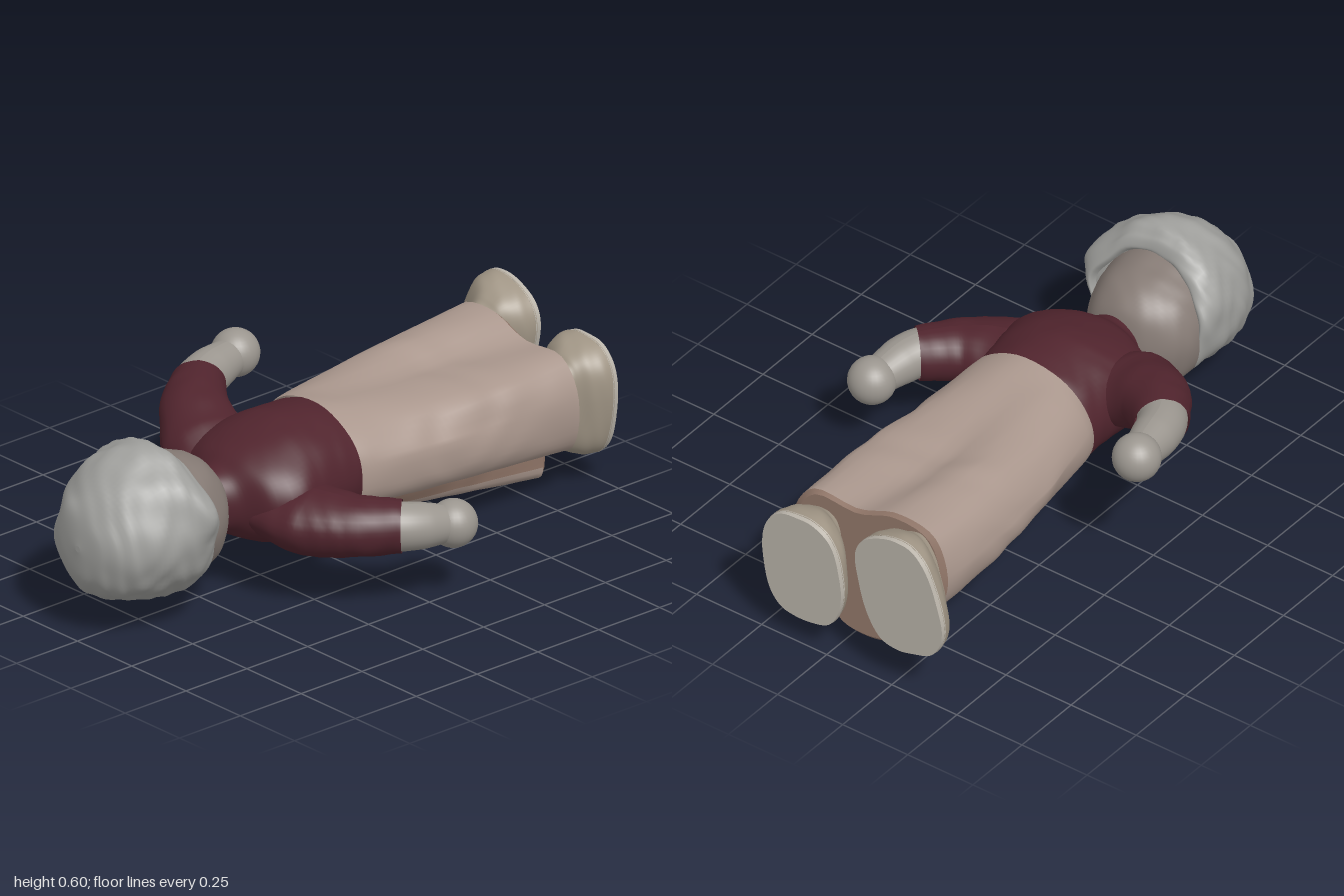
import * as THREE from 'three';

const SEG = 72;
const paint = (color) => new THREE.MeshStandardMaterial({ color, roughness: 0.9, side: THREE.DoubleSide });
const maroon = paint(0x50242d), cloth = paint(0xaa978d), shade = paint(0x93786a);
const knit = paint(0x9f9f9c), skin = paint(0x857a74), glove = paint(0x9b968f);
const leather = paint(0x9f9484), rubber = paint(0xbab4aa);

// Soft crumpling with a finer second layer, in units of 1
const crumple = (x, y, z) =>
  (Math.sin(x * 17 + z * 9 + 1) + Math.sin(y * 19 - z * 13 + 2) + Math.sin((x - y) * 27 + z * 21)) / 3
  + 0.45 * Math.sin(x * 43 + y * 31 + 2 * Math.sin(z * 30)) * Math.sin(z * 47 - x * 25 + y * 12);

function addMesh(parent, name, geometry, material) {
  const mesh = new THREE.Mesh(geometry, material);
  mesh.name = name;
  parent.add(mesh);
  return mesh;
}

// Skin over closed rings ordered from low z to high z, each anticlockwise seen from +z
function skinRings(rings, { capStart = true, capEnd = true, keep = () => true } = {}) {
  const n = rings[0].length, pos = [], index = [];
  rings.forEach((ring) => ring.forEach((p) => pos.push(p.x, p.y, p.z)));
  for (let i = 0; i < rings.length - 1; i++) {
    for (let j = 0; j < n; j++) {
      const a = i * n + j, b = i * n + (j + 1) % n;
      if (keep(j)) index.push(a, b, b + n, a, b + n, a + n);
    }
  }
  const cap = (ring, flip) => {
    const base = pos.length / 3;
    const mid = ring.reduce((s, p) => s.add(p), new THREE.Vector3()).divideScalar(n);
    [...ring, mid].forEach((p) => pos.push(p.x, p.y, p.z));
    for (let j = 0; j < n; j++) {
      const a = base + j, b = base + (j + 1) % n;
      index.push(base + n, flip ? b : a, flip ? a : b);
    }
  };
  if (capStart) cap(rings[0], true);
  if (capEnd) cap(rings[rings.length - 1], false);
  const g = new THREE.BufferGeometry();
  g.setAttribute('position', new THREE.Float32BufferAttribute(pos, 3));
  g.setIndex(index);
  g.computeVertexNormals();
  return g;
}

// Ellipse sections [z, centre x, centre y, half width, half height], smoothed along z
function loft(sections, { steps = 6, rough = 0, power = 2, tilt = 0, edit } = {}) {
  const rings = [];
  const mix = (a, b, c, d, t) => {
    const m = (c - a) / 2, k = (d - b) / 2;
    return b + m * t + (3 * (c - b) - 2 * m - k) * t * t + (2 * (b - c) + m + k) * t * t * t;
  };
  const last = sections.length - 1;
  for (let s = 0; s <= last * steps; s++) {
    const i = Math.min(Math.floor(s / steps), last - 1), t = s / steps - i;
    const [z, cx, cy, rx, ry] = sections[i].map((_, k) => mix(
      sections[Math.max(i - 1, 0)][k], sections[i][k], sections[i + 1][k], sections[Math.min(i + 2, last)][k], t));
    const ring = [];
    for (let j = 0; j < SEG; j++) {
      const a = (j / SEG) * Math.PI * 2, c = Math.cos(a), q = Math.sin(a);
      const u = Math.sign(c) * Math.abs(c) ** (2 / power) * rx, v = Math.sign(q) * Math.abs(q) ** (2 / power) * ry;
      const p = new THREE.Vector3(u * Math.cos(tilt) - v * Math.sin(tilt), u * Math.sin(tilt) + v * Math.cos(tilt), z);
      const f = 1 + (rough * crumple(cx + p.x, cy + p.y, z)) / Math.max(rx, 0.08);
      p.set(cx + p.x * f, cy + p.y * f, z);
      if (edit) edit(p, a);
      ring.push(p);
    }
    rings.push(ring);
  }
  return rings;
}

// Limb along a path with its own radius at each step, flattened in y near its start
function limb(points, radii, flat = 1, rough = 0) {
  const path = new THREE.CatmullRomCurve3(points.map((p) => new THREE.Vector3(...p)));
  const n = 32, g = new THREE.TubeGeometry(path, n, 1, 32, false), pos = g.attributes.position;
  const v = new THREE.Vector3();
  for (let k = 0; k < pos.count; k++) {
    const t = Math.floor(k / 33) / n, c = path.getPointAt(t);
    const f = t * (radii.length - 1), i = Math.min(Math.floor(f), radii.length - 2);
    const r = THREE.MathUtils.lerp(radii[i], radii[i + 1], f - i);
    v.fromBufferAttribute(pos, k).sub(c);
    v.multiplyScalar(r + rough * crumple(c.x + v.x * r, c.y + v.y * r, c.z + v.z * r));
    v.y *= THREE.MathUtils.lerp(flat, 1, t);
    v.add(c);
    pos.setXYZ(k, v.x, v.y, v.z);
  }
  g.computeVertexNormals();
  return g;
}

// Long garment: a round waist that spreads to a hem with a grooved, narrow trailing back
const HEM = [
  [-0.345, 0.36], [-0.325, 0.25], [-0.26, 0.185], [-0.15, 0.19], [-0.145, 0.1], [-0.14, 0.03], [-0.04, 0], [0.06, 0.02],
  [0.075, 0.09], [0.09, 0.18], [0.19, 0.155], [0.235, 0.22], [0.24, 0.37], [0.17, 0.465], [0, 0.465], [-0.15, 0.515], [-0.29, 0.49],
];
function robeRings() {
  const rings = [];
  for (let s = 0; s <= 40; s++) {
    const t = 1 - s / 40, wide = t ** 0.6, hump = Math.sin(t * Math.PI);
    const ctrl = HEM.map(([x, y]) => {
      const a = Math.atan2(y - 0.28, x + 0.04);
      const wx = -0.015 + 0.238 * Math.cos(a), wy = 0.32 + 0.194 * Math.sin(a);
      return new THREE.Vector3(
        (wx + (x - wx) * wide) * (1 + 0.06 * hump), wy + (y - wy) * t, 0.025 - 0.87 * t + 0.03 * t * (y - 0.2));
    });
    const ring = new THREE.CatmullRomCurve3(ctrl, true).getPoints(SEG).slice(0, SEG);
    ring.forEach((p) => {
      const w = 0.007 * hump * crumple(p.x, p.y, p.z * 0.4);
      p.x += w;
      // shallow valley between the legs along the front
      p.y += w - (p.y > 0.36 ? hump * (0.012 + 0.025 * Math.exp(-(((p.x + 0.05) / 0.07) ** 2))) : 0);
    });
    rings.push(ring);
  }
  return rings;
}

export function createModel() {
  const model = new THREE.Group();
  model.name = 'lyingFigure';

  // Robe: pale panels, darker grooves on both sides of the trailing back, closed hem
  const robe = robeRings();
  const at = (j) => (j / SEG) * HEM.length;
  const isGroove = (j) => (at(j) > 2.1 && at(j) < 4.9) || (at(j) > 7.4 && at(j) < 9.9);
  addMesh(model, 'robePanels', skinRings(robe, { capStart: false, capEnd: false, keep: (j) => !isGroove(j) }), cloth);
  addMesh(model, 'robeGrooves', skinRings(robe, { capStart: false, capEnd: false, keep: isGroove }), shade);
  const inset = robe[0].map((p) => new THREE.Vector3(-0.04 + (p.x + 0.04) * 0.94, 0.27 + (p.y - 0.27) * 0.95, p.z - 0.012));
  addMesh(model, 'robeHem', skinRings([inset, robe[0]], { capEnd: false }), shade);

  // Jumper body and neck
  addMesh(model, 'jumper', skinRings(loft([
    [-0.02, -0.015, 0.32, 0.218, 0.178], [0.03, -0.015, 0.32, 0.232, 0.19], [0.1, -0.01, 0.323, 0.238, 0.193],
    [0.2, -0.005, 0.323, 0.25, 0.192], [0.3, 0, 0.315, 0.26, 0.172], [0.38, 0, 0.315, 0.21, 0.14],
    [0.43, 0, 0.31, 0.12, 0.11], [0.48, -0.01, 0.305, 0.085, 0.1],
  ], { rough: 0.003 })), maroon);

  // Sleeves and hands, each arm posed a little differently
  const arms = [
    { name: 'left', sleeve: [[0.1, 0.28, 0.28], [0.25, 0.268, 0.25], [0.37, 0.27, 0.195], [0.475, 0.272, 0.09]], hand: [0.522, 0.25, -0.078] },
    { name: 'right', sleeve: [[-0.1, 0.315, 0.28], [-0.25, 0.365, 0.25], [-0.36, 0.415, 0.195], [-0.465, 0.44, 0.09]], hand: [-0.523, 0.463, -0.115] },
  ];
  arms.forEach(({ name, sleeve, hand }) => {
    const arm = new THREE.Group();
    arm.name = name + 'Arm';
    addMesh(arm, 'sleeve', limb(sleeve, [0.14, 0.15, 0.11, 0.084], 0.55, 0.004), maroon);
    addMesh(arm, 'wrist', limb([sleeve[2], sleeve[3], hand], [0.06, 0.079, 0.073, 0.055]), glove);
    const fist = addMesh(arm, 'hand', new THREE.SphereGeometry(0.077, 28, 20), glove);
    fist.position.set(...hand);
    model.add(arm);
  });

  // Head
  addMesh(model, 'head', skinRings(loft([
    [0.445, -0.015, 0.3, 0.06, 0.07], [0.47, -0.015, 0.3, 0.115, 0.14], [0.52, -0.02, 0.3, 0.165, 0.185],
    [0.59, -0.02, 0.303, 0.195, 0.205], [0.7, -0.01, 0.315, 0.205, 0.21],
  ], { rough: 0.004 })), skin);

  // Crumpled cap with a raised front rim and a small peak on its left
  addMesh(model, 'cap', skinRings(loft([
    [0.635, -0.005, 0.31, 0.195, 0.2], [0.61, -0.005, 0.32, 0.212, 0.214], [0.64, 0, 0.335, 0.235, 0.235],
    [0.71, 0.003, 0.343, 0.247, 0.25], [0.8, 0, 0.333, 0.237, 0.24], [0.88, -0.005, 0.318, 0.207, 0.212],
    [0.94, -0.005, 0.305, 0.16, 0.172], [0.98, -0.005, 0.305, 0.095, 0.11], [0.995, -0.005, 0.305, 0.01, 0.01],
  ], {
    rough: 0.01,
    edit: (p, a) => {
      p.x += 0.025 * Math.exp(-(((a - 0.25) / 0.25) ** 2) - ((p.z - 0.67) / 0.05) ** 2);
      if (p.z < 0.75) p.z += 0.065 * Math.max(0, Math.sin(a)) ** 2 * (0.75 - p.z) / 0.15;
    },
  })), knit);

  // Shoes with flat soles: long toe to heel, pinched sideways at the ankle
  const shoes = [
    { name: 'leftShoe', x: 0.097, y: 0.283, rx: 0.148, ry: 0.194, tilt: -0.1 },
    { name: 'rightShoe', x: -0.275, y: 0.35, rx: 0.152, ry: 0.208, tilt: -0.28 },
  ];
  const rows = [[-0.985, 1, 1], [-0.95, 0.95, 0.98], [-0.915, 0.8, 0.92], [-0.885, 0.57, 0.82], [-0.86, 0.48, 0.7], [-0.8, 0.45, 0.55]];
  shoes.forEach(({ name, x, y, rx, ry, tilt }) => {
    const shoe = new THREE.Group();
    shoe.name = name;
    addMesh(shoe, 'upper', skinRings(loft(
      rows.map(([z, kx, ky]) => [z, x + (1 - kx) * 0.04, y, rx * kx, ry * ky]), { tilt, power: 2.8, rough: 0.003 })), leather);
    addMesh(shoe, 'sole', skinRings(loft(
      [[-1, x, y, rx * 0.99, ry * 0.99], [-0.98, x, y, rx, ry]], { tilt, power: 2.8, steps: 2, rough: 0.003 })), rubber);
    model.add(shoe);
  });

  return model;
}
